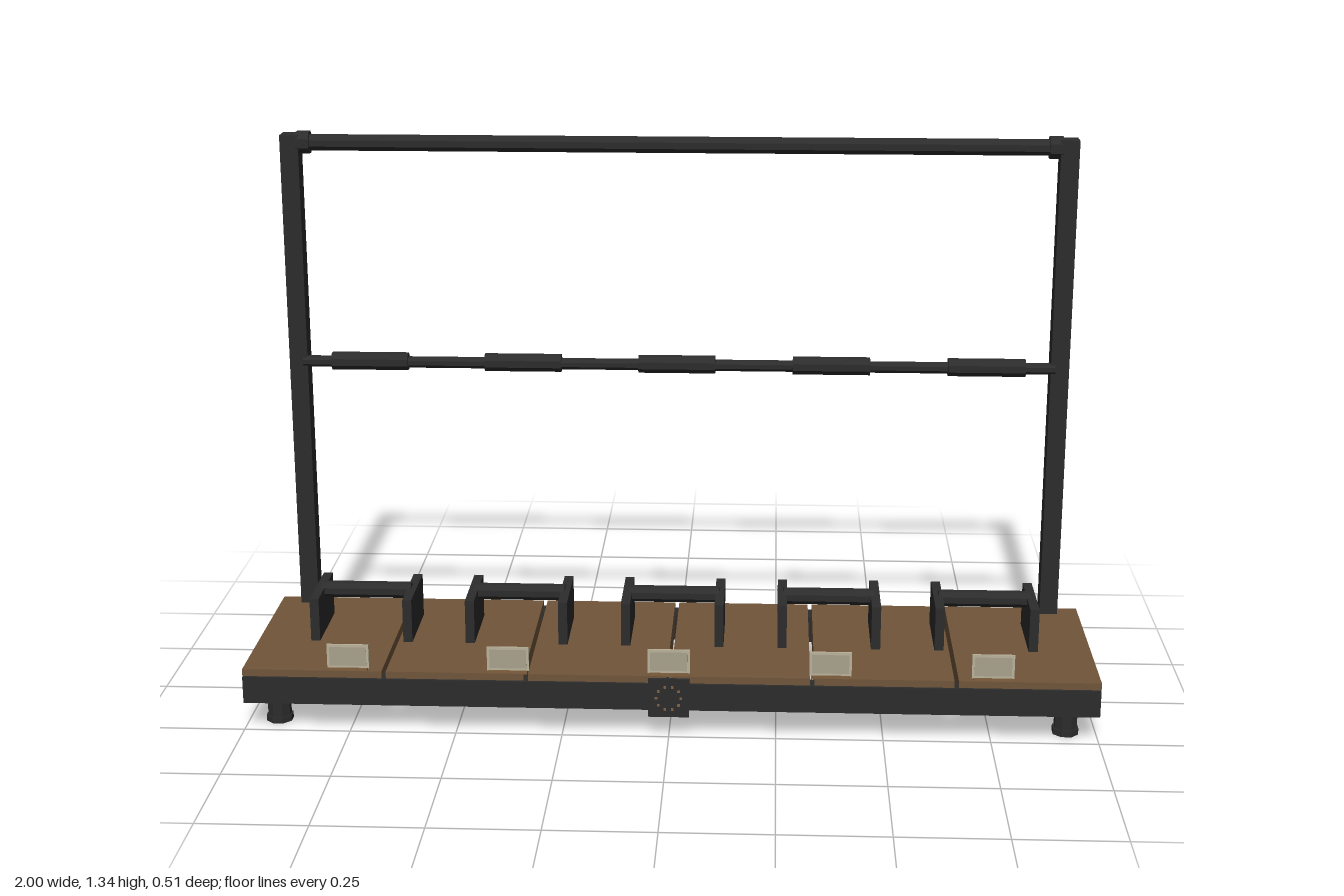
import * as THREE from 'three';

const mat = (name, color, flat = false) => {
  const m = new THREE.MeshStandardMaterial({ color, flatShading: flat });
  m.name = name;
  return m;
};

export function createModel() {
  const root = new THREE.Group();
  root.name = 'displayRack';
  const metal = mat('dark metal', 0x2c2c2d, true);
  const wood = mat('brown wood', 0x70553a);
  const card = mat('pale card', 0xb9b29b);
  const cardFace = mat('card face', 0xa8a28c);
  const copper = mat('copper trim', 0x80603f);

  // Box given by its limits on each axis
  const box = (name, m, [x0, x1], [y0, y1], [z0, z1], parent = root) => {
    const mesh = new THREE.Mesh(new THREE.BoxGeometry(x1 - x0, y1 - y0, z1 - z0), m);
    mesh.position.set((x0 + x1) / 2, (y0 + y1) / 2, (z0 + z1) / 2);
    mesh.name = name;
    parent.add(mesh);
    return mesh;
  };

  // Eight-sided rod along x
  const rod = (name, r, length, x, y, z, parent = root) => {
    const geo = new THREE.CylinderGeometry(r, r, length, 8);
    geo.rotateY(Math.PI / 8).rotateZ(Math.PI / 2);
    const mesh = new THREE.Mesh(geo, metal);
    mesh.position.set(x, y, z);
    mesh.name = name;
    parent.add(mesh);
  };

  // Eight-sided upright drum used for the feet
  const drum = (name, r, y0, y1, x, z) => {
    const geo = new THREE.CylinderGeometry(r, r, y1 - y0, 8);
    geo.rotateY(Math.PI / 8);
    const mesh = new THREE.Mesh(geo, metal);
    mesh.position.set(x, (y0 + y1) / 2, z);
    mesh.name = name;
    root.add(mesh);
  };

  // Deck boards with narrow open gaps
  const pitch = 2 / 6, gap = 0.005;
  for (let i = 0; i < 6; i++) {
    const x0 = -1 + i * pitch + (i > 0 ? gap : 0);
    const x1 = -1 + (i + 1) * pitch - (i < 5 ? gap : 0);
    box('deckBoard', wood, [x0, x1], [0.085, 0.15], [-0.242, 0.245]);
  }

  // Base frame
  box('frontBeam', metal, [-0.999, 0.999], [0.068, 0.133], [0.21, 0.252]);
  box('backBeam', metal, [-0.999, 0.999], [0.068, 0.133], [-0.25, -0.195]);

  for (const s of [-1, 1]) {
    box('sideBeam', metal, [s * 0.978 - 0.02, s * 0.978 + 0.02], [0.068, 0.087], [-0.2, 0.215]);

    // Upright post
    box('post', metal, [s * 0.926 - 0.022, s * 0.926 + 0.022], [0.01, 1.335], [-0.248, -0.2]);

    // Feet
    drum('frontFoot', 0.028, 0, 0.075, s * 0.929, 0.183);
    drum('frontFootPad', 0.032, 0, 0.015, s * 0.929, 0.183);
    drum('backFoot', 0.036, 0, 0.07, s * 0.926, -0.19);
    drum('backFootPad', 0.046, 0, 0.018, s * 0.926, -0.2);

    // Collar where the top bar meets the post
    rod('topBarCollar', 0.028, 0.032, s * 0.895, 1.315, -0.224);
  }

  // Cross bars
  rod('topBar', 0.02, 1.84, 0, 1.315, -0.224);
  rod('middleBar', 0.014, 1.83, 0, 0.779, -0.208);

  for (let i = -2; i <= 2; i++) {
    const x = i * 0.375;
    rod('barSleeve', 0.022, 0.187, x, 0.781, -0.207);

    // Holder: two side plates joined by a bar
    const holder = new THREE.Group();
    holder.name = 'holder';
    holder.position.x = x;
    root.add(holder);
    for (const s of [-1, 1]) {
      box('holderPlate', metal, [s * 0.112 - 0.011, s * 0.112 + 0.011], [0.148, 0.257], [-0.13, 0.057], holder);
    }
    rod('holderBar', 0.02, 0.22, 0, 0.249, -0.038, holder);

    // Label card standing at the front edge
    const label = new THREE.Group();
    label.name = 'labelCard';
    label.position.x = x;
    root.add(label);
    box('cardBase', copper, [-0.045, 0.045], [0.148, 0.157], [0.233, 0.244], label);
    box('cardPanel', card, [-0.049, 0.049], [0.156, 0.214], [0.236, 0.241], label);
    box('cardInset', cardFace, [-0.043, 0.043], [0.162, 0.208], [0.2352, 0.2418], label);
  }

  // Plain square plate on the front beam with a ring of small studs
  box('frontPlate', metal, [-0.048, 0.048], [0.052, 0.146], [0.246, 0.255]);
  for (let i = 0; i < 10; i++) {
    const a = (i / 10) * Math.PI * 2;
    const x = Math.cos(a) * 0.029, y = 0.099 + Math.sin(a) * 0.029;
    box('plateStud', copper, [x - 0.003, x + 0.003], [y - 0.003, y + 0.003], [0.2545, 0.2565]);
  }

  return root;
}
